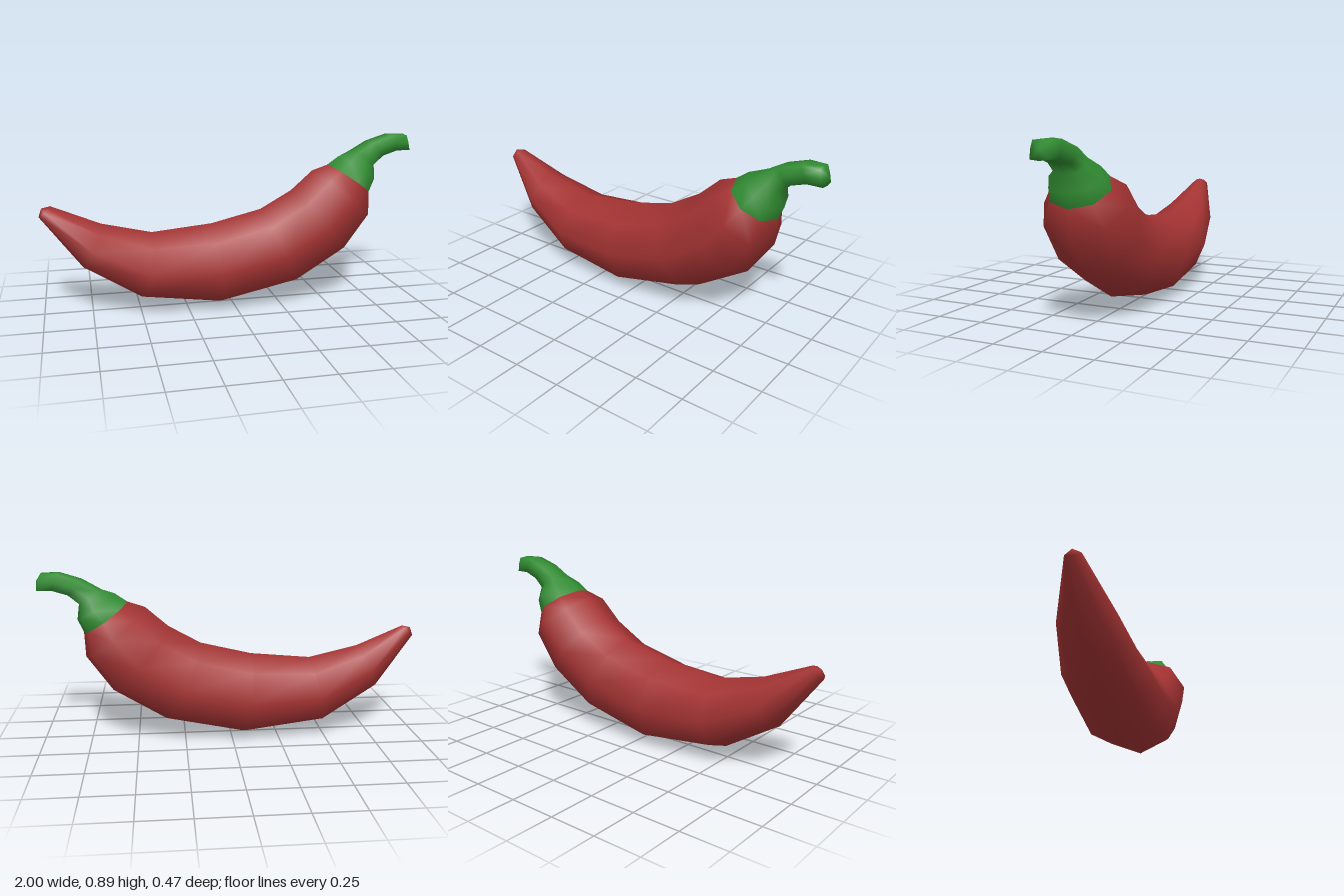
import * as THREE from 'three';

const SIDES = 8;

// Each ring: [topX, topY, bottomX, bottomY, halfWidth, diagonal factor (0.71 = round, 1 = square)]
function loft(rings, startTip, endTip) {
  const pos = [], idx = [];
  for (const [tx, ty, bx, by, w, d = Math.SQRT1_2] of rings) {
    const cx = (tx + bx) / 2, cy = (ty + by) / 2;
    for (let j = 0; j < SIDES; j++) {
      const a = (j / SIDES) * Math.PI * 2;
      const k = j % 2 ? d / Math.SQRT1_2 : 1;
      const c = Math.cos(a) * k, s = Math.sin(a) * k;
      pos.push(cx + (tx - cx) * c, cy + (ty - cy) * c, w * s);
    }
  }
  for (let i = 0; i < rings.length - 1; i++) {
    for (let j = 0; j < SIDES; j++) {
      const a = i * SIDES + j, b = i * SIDES + ((j + 1) % SIDES);
      idx.push(a, b, a + SIDES, b, b + SIDES, a + SIDES);
    }
  }
  // Close an end with a fan to a single point
  const cap = (tip, ring, flip) => {
    const t = pos.length / 3;
    pos.push(tip[0], tip[1], 0);
    for (let j = 0; j < SIDES; j++) {
      const a = ring * SIDES + j, b = ring * SIDES + ((j + 1) % SIDES);
      flip ? idx.push(b, a, t) : idx.push(a, b, t);
    }
  };
  if (startTip) cap(startTip, 0, true);
  if (endTip) cap(endTip, rings.length - 1, false);
  const g = new THREE.BufferGeometry();
  g.setAttribute('position', new THREE.Float32BufferAttribute(pos, 3));
  g.setIndex(idx);
  g.computeVertexNormals();
  return g;
}

export function createModel() {
  const red = new THREE.MeshStandardMaterial({ color: 0xa53333 });
  red.name = 'pepperRed';
  const green = new THREE.MeshStandardMaterial({ color: 0x318c32 });
  green.name = 'stemGreen';
  const group = new THREE.Group();
  group.name = 'chiliPepper';

  const collar = [0.54, 0.74, 0.77, 0.58, 0.157];

  // Curved fruit, from pointed tip to shoulder
  const body = new THREE.Mesh(loft([
    [-0.94, 0.58, -1.0, 0.525, 0.04],
    [-0.69, 0.475, -0.79, 0.245, 0.145],
    [-0.43, 0.415, -0.49, 0.06, 0.207],
    [-0.11, 0.445, -0.07, 0.003, 0.233],
    [0.16, 0.51, 0.35, 0.09, 0.23],
    [0.33, 0.605, 0.63, 0.26, 0.226],
    [0.45, 0.71, 0.765, 0.45, 0.222],
    collar,
  ], [-0.985, 0.57], null), red);
  body.name = 'fruit';

  // Calyx narrowing into the bent, squarish stalk
  const stem = new THREE.Mesh(loft([
    collar,
    [0.605, 0.785, 0.8, 0.65, 0.136],
    [0.68, 0.81, 0.788, 0.735, 0.071, 0.85],
    [0.77, 0.86, 0.84, 0.782, 0.064, 0.88],
    [0.885, 0.898, 0.92, 0.806, 0.052, 0.9],
    [0.972, 0.895, 0.996, 0.806, 0.049, 0.9],
  ], null, [0.998, 0.854]), green);
  stem.name = 'stem';

  group.add(body, stem);
  return group;
}
